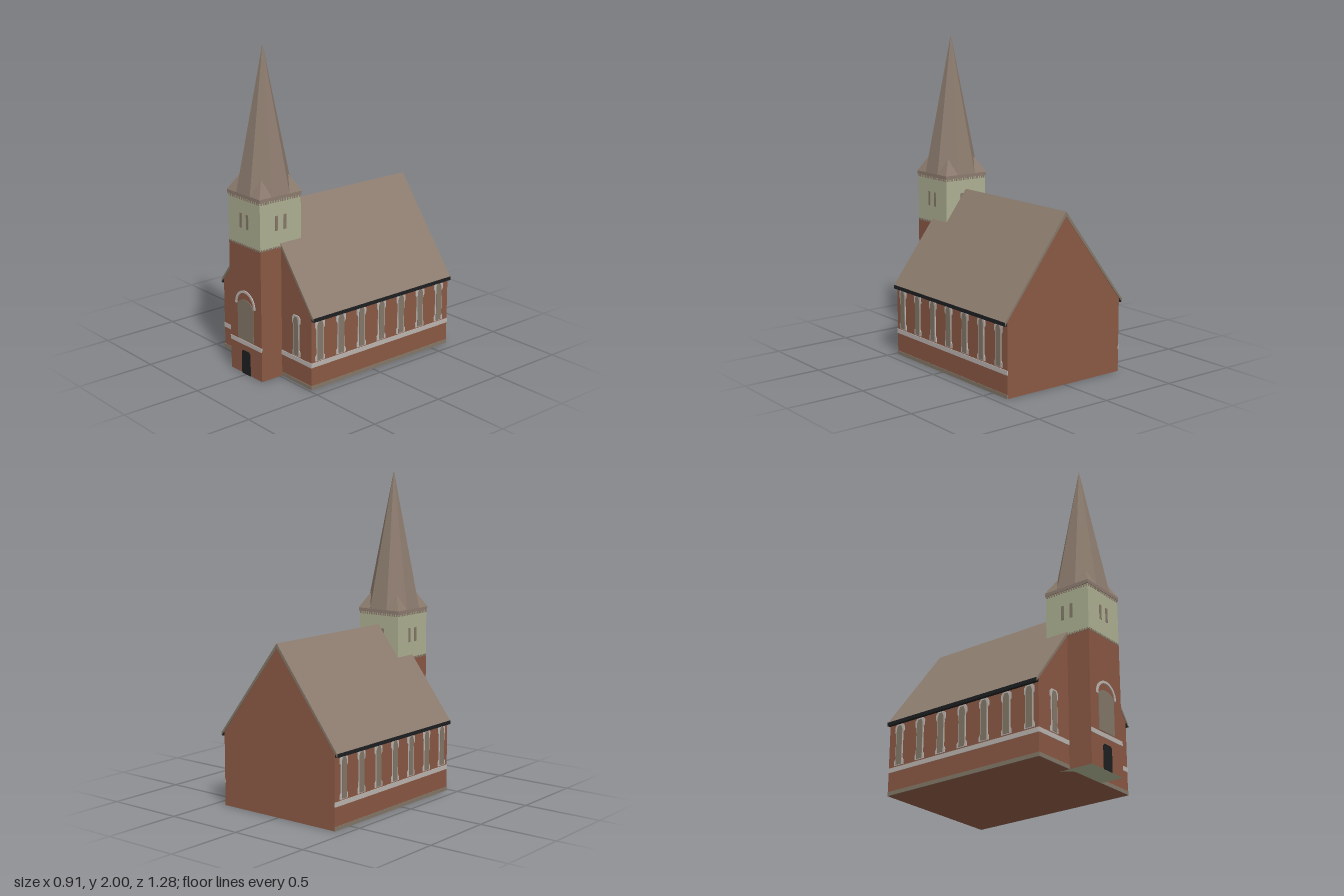
import * as THREE from 'three';

const mat = (name, color) => {
  const m = new THREE.MeshStandardMaterial({ color });
  m.name = name;
  return m;
};

export function createModel() {
  const brick = mat('brick', 0x8a5843);
  const slate = mat('slate', 0x8d7c6f);
  const green = mat('palePaint', 0xadb092);
  const stone = mat('paleStone', 0xbcb5b1);
  const glass = mat('windowTaupe', 0x837768);
  const black = mat('black', 0x1e1f21);

  const church = new THREE.Group();
  church.name = 'church';
  const add = (name, geo, material, x = 0, y = 0, z = 0, parent = church) => {
    const mesh = new THREE.Mesh(geo, material);
    mesh.name = name;
    mesh.position.set(x, y, z);
    parent.add(mesh);
    return mesh;
  };
  // box given by its centre in x and z and its bottom and top in y
  const box = (name, material, w, y0, y1, d, x = 0, z = 0, parent = church) =>
    add(name, new THREE.BoxGeometry(w, y1 - y0, d), material, x, (y0 + y1) / 2, z, parent);
  const outline = pts => new THREE.Shape(pts.map(p => new THREE.Vector2(...p)));
  const extrude = (shape, depth) =>
    new THREE.ExtrudeGeometry(shape, { depth, bevelEnabled: false, curveSegments: 10 });
  // outline mirrored across x = 0 from its right half, listed bottom to top
  const mirrored = half => outline([...half, ...half.map(([x, y]) => [-x, y]).reverse()]);

  const back = -0.638, front = 0.485, length = front - back, mid = (front + back) / 2;
  const wall = 0.428, towerZ = 0.483, towerHalf = 0.152;

  // Nave walls with gables, and the roof over them
  add('naveWalls', extrude(outline([[-wall, 0], [wall, 0], [wall, 0.455], [0, 1.015], [-wall, 0.455]]), length - 0.006),
    brick, 0, 0, back + 0.003);
  add('naveRoof', extrude(outline([[0.45, 0.432], [0.45, 0.452], [0, 1.04], [-0.45, 0.452], [-0.45, 0.432], [0, 1.012]]), length),
    [glass, slate], 0, 0, back);

  // Tall window with a pale surround that widens at sill and head
  const frameGeo = extrude(mirrored([[0.036, 0.175], [0.036, 0.2], [0.027, 0.215], [0.027, 0.37],
    [0.036, 0.385], [0.036, 0.415], [0.022, 0.432]]), 0.005);
  const paneGeo = extrude(mirrored([[0.021, 0.18], [0.021, 0.4], [0.012, 0.422]]), 0.008);
  const tallWindow = (x, z, turn) => {
    const g = new THREE.Group();
    g.name = 'tallWindow';
    add('windowSurround', frameGeo, stone, 0, 0, 0, g);
    add('windowPane', paneGeo, glass, 0, 0, 0, g);
    g.position.set(x, 0, z);
    g.rotation.y = turn;
    church.add(g);
  };

  for (const s of [-1, 1]) {
    // Long sides: band, plinth, gutter and seven windows
    box('sideBand', stone, 0.008, 0.14, 0.168, length - 0.006, s * wall, mid);
    box('sidePlinth', glass, 0.006, 0, 0.024, length - 0.006, s * wall, mid);
    box('gutter', black, 0.02, 0.432, 0.454, length - 0.002, s * 0.443, mid);
    for (let i = 0; i < 7; i++) tallWindow(s * wall, 0.418 - i * 0.162, s * Math.PI / 2);
    // Front gable wall beside the tower
    box('frontBand', stone, 0.276, 0.14, 0.168, 0.008, s * 0.291, front - 0.003);
    box('frontPlinth', glass, 0.276, 0, 0.024, 0.006, s * 0.291, front - 0.003);
    tallWindow(s * 0.292, front - 0.003, 0);
  }

  // Tower: brick shaft with a painted belfry above
  const w = towerHalf * 2, face = towerZ + towerHalf;
  box('towerShaft', [brick, brick, brick, green, brick, brick], w, 0, 0.82, w, 0, towerZ);
  box('belfry', green, w, 0.82, 1.11, w, 0, towerZ);
  box('belfryCornice', slate, w + 0.008, 1.113, 1.136, w + 0.008, 0, towerZ);

  // Tower front: door, band and arched window under a hood
  const doorGeo = extrude(mirrored([[0.04, 0], [0.04, 0.138], [0.03, 0.15]]), 0.005);
  add('door', doorGeo, black, 0, 0, face);
  box('towerBand', stone, w, 0.188, 0.215, 0.008, 0, face);
  const pane = outline([[-0.075, 0.222], [0.075, 0.222], [0.075, 0.43]]);
  pane.absellipse(0, 0.43, 0.075, 0.048, 0, Math.PI, false);
  add('archedWindow', extrude(pane, 0.004), glass, 0, 0, face);
  const hood = new THREE.Shape();
  hood.absarc(0, 0.44, 0.097, 0, Math.PI, false);
  hood.absarc(0, 0.44, 0.082, Math.PI, 0, true);
  add('archHood', extrude(hood, 0.006), stone, 0, 0, face);

  // Belfry openings and small blocks on each face
  for (let k = 0; k < 4; k++) {
    const g = new THREE.Group();
    g.name = 'belfryFace';
    g.position.z = towerZ;
    g.rotation.y = k * Math.PI / 2;
    church.add(g);
    for (const s of [-1, 1]) box('belfryOpening', glass, 0.02, 0.925, 1.015, 0.006, s * 0.031, towerHalf, g);
    for (let i = 0; i < 17; i++) {
      const x = (i - 8) * 0.0178;
      box('corniceBlock', slate, 0.009, 1.098, 1.113, 0.006, x, towerHalf, g);
      box('beltBlock', glass, 0.009, 0.814, 0.828, 0.006, x, towerHalf, g);
    }
  }

  // Eight-sided spire with a broach on each corner
  const h = 0.157, rise = 0.866, base = 1.134;
  const cone = new THREE.ConeGeometry(h / Math.cos(Math.PI / 8), rise, 8, 1, true, Math.PI / 8).toNonIndexed();
  cone.computeVertexNormals();
  add('spire', cone, slate, 0, base + rise / 2, towerZ);
  const s = 0.065, p = 0.1;
  const broach = new THREE.BufferGeometry();
  broach.setAttribute('position', new THREE.Float32BufferAttribute([
    s, 0, h, h, 0, h, p, 0.1, p,
    h, 0, h, h, 0, s, p, 0.1, p], 3));
  broach.computeVertexNormals();
  for (let k = 0; k < 4; k++) add('spireBroach', broach, slate, 0, base, towerZ).rotation.y = k * Math.PI / 2;

  return church;
}
